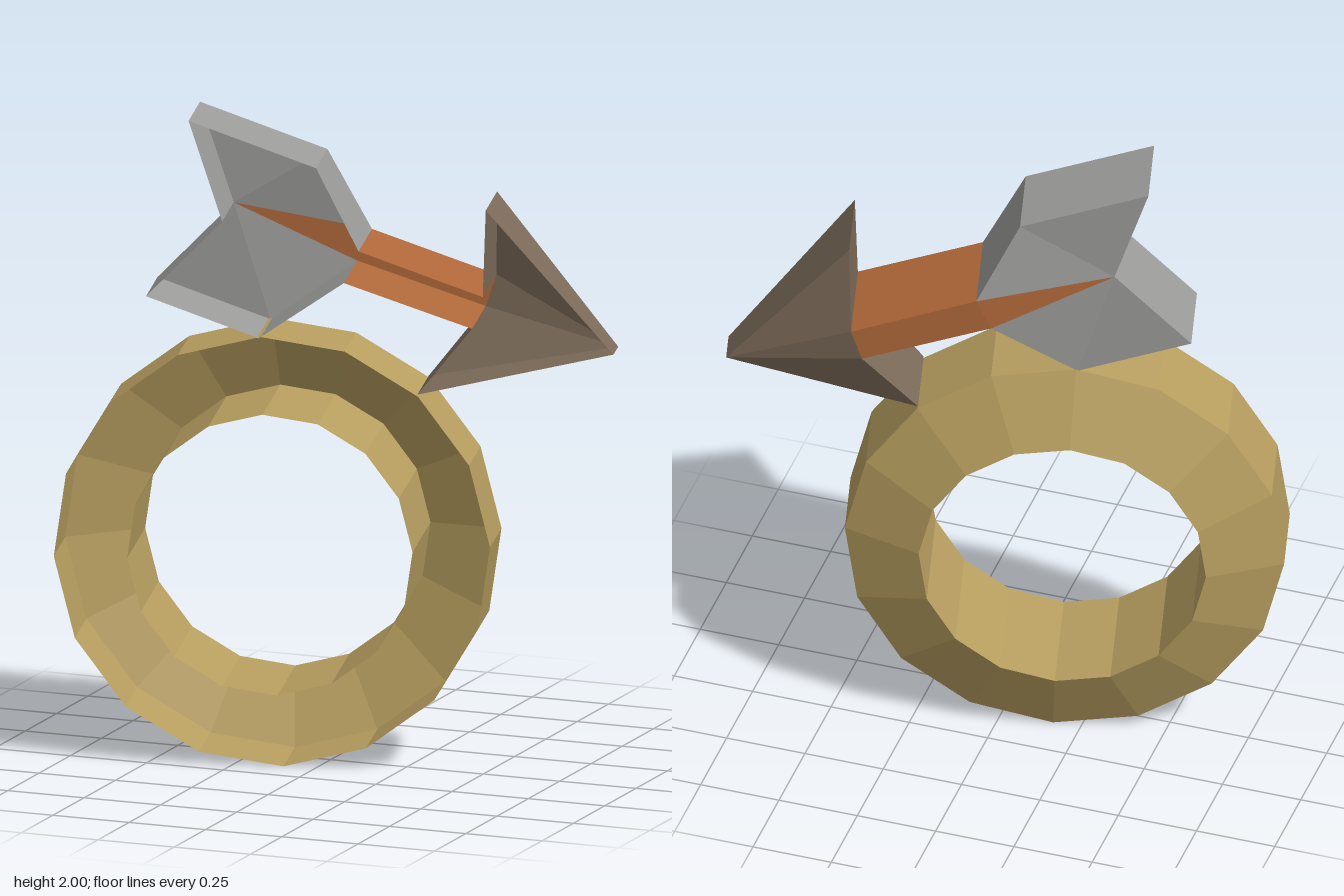
import * as THREE from 'three';

// Outline points of the arrow, clockwise: [x, y, front z, back z]
const P = {
  tailTop: [-0.42, 2.0, 0.107, -0.15],
  featherTop: [-0.03, 1.865, 0.107, -0.15],
  shaftTop: [0.10, 1.61, 0.107, -0.195],
  neckTop: [0.48, 1.48, 0.107, -0.2],
  barbTop: [0.489, 1.75, 0.107, -0.148],
  tip: [0.866, 1.29, 0.007, -0.1],
  barbLow: [0.28, 1.17, 0.107, -0.148],
  neckLow: [0.447, 1.38, 0.107, -0.2],
  shaftLow: [0.055, 1.51, 0.107, -0.195],
  featherLow: [-0.205, 1.33, 0.107, -0.15],
  tailLow: [-0.55, 1.45, 0.107, -0.15],
  notch: [-0.317, 1.69, 0.107, -0.15],
};

function makeMesh(name, geometry, color) {
  const material = new THREE.MeshStandardMaterial({ color, flatShading: true, side: THREE.DoubleSide });
  const mesh = new THREE.Mesh(geometry, material);
  mesh.name = name;
  return mesh;
}

// Open-fronted shell: walls run along point chains, backs are clockwise polygons
function shell(name, color, chains, backs) {
  const pos = [];
  const front = (k) => [P[k][0], P[k][1], P[k][2]];
  const back = (k) => [P[k][0], P[k][1], P[k][3]];
  const fan = (pts) => {
    for (let i = 1; i < pts.length - 1; i++) pos.push(...pts[0], ...pts[i], ...pts[i + 1]);
  };
  for (const c of chains) {
    for (let i = 0; i < c.length - 1; i++) {
      fan([front(c[i]), front(c[i + 1]), back(c[i + 1]), back(c[i])]);
    }
  }
  for (const b of backs) fan(b.map(back));
  const g = new THREE.BufferGeometry();
  g.setAttribute('position', new THREE.Float32BufferAttribute(pos, 3));
  g.computeVertexNormals();
  return makeMesh(name, g, color);
}

export function createModel() {
  const model = new THREE.Group();
  const body = new THREE.Group();
  body.name = 'ringWithArrow';
  body.rotation.y = 0.253;
  model.add(body);

  // Ring band: hollow channel, open at the front, sloping back face
  const profile = [[0.437, 0.153], [0.437, -0.25], [0.668, -0.15], [0.668, 0.107]]
    .map(([r, y]) => new THREE.Vector2(r, y));
  const band = new THREE.LatheGeometry(profile, 16, THREE.MathUtils.degToRad(3));
  band.rotateX(Math.PI / 2);
  band.translate(-0.165, 0.667, 0);
  body.add(makeMesh('ringBand', band, 0xb89f60));

  // Arrow: two feathers, shaft and head
  body.add(shell('upperFeather', 0x9c9c9a,
    [['notch', 'tailTop', 'featherTop', 'shaftTop']],
    [['notch', 'tailTop', 'featherTop', 'shaftTop']]));
  body.add(shell('lowerFeather', 0x9c9c9a,
    [['shaftLow', 'featherLow', 'tailLow', 'notch']],
    [['notch', 'shaftLow', 'featherLow', 'tailLow']]));
  body.add(shell('shaft', 0xb0683a,
    [['shaftTop', 'neckTop'], ['neckLow', 'shaftLow']],
    [['notch', 'shaftTop', 'shaftLow'], ['shaftTop', 'neckTop', 'neckLow', 'shaftLow']]));
  body.add(shell('arrowHead', 0x7d6c5a,
    [['neckTop', 'barbTop', 'tip', 'barbLow', 'neckLow']],
    [['neckTop', 'barbTop', 'tip'], ['neckTop', 'tip', 'neckLow'], ['neckLow', 'tip', 'barbLow']]));

  return model;
}
